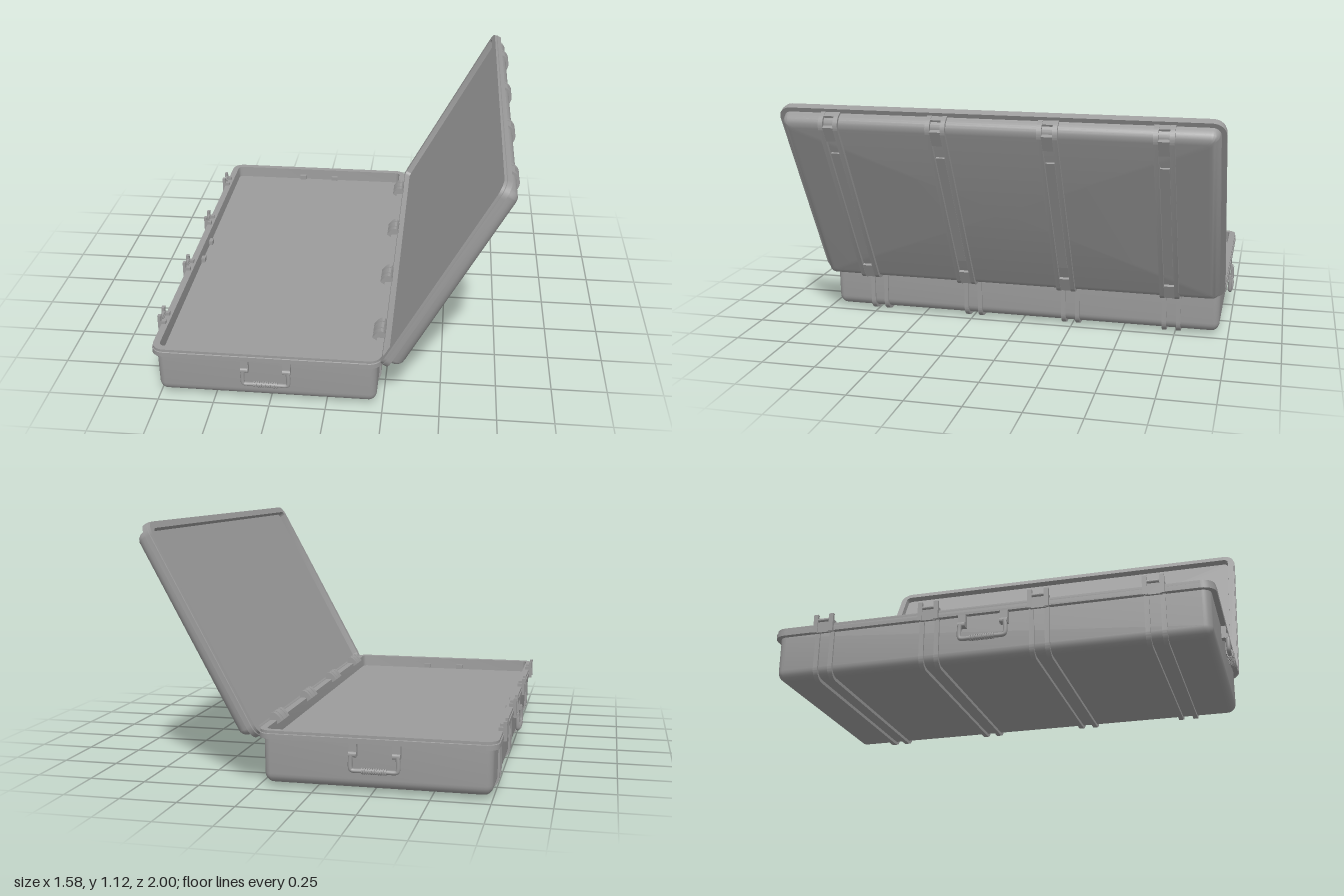
import * as THREE from 'three';
import { toCreasedNormals } from 'three/addons/utils/BufferGeometryUtils.js';

const mat = new THREE.MeshStandardMaterial({ color: 0x9b9b9b });
const HX = 0.512, HZ = 0.982;             // half size of the rim outline
const RIBS = [-0.732, -0.244, 0.244, 0.732]; // stations of ribs, latches and hinges

function add(parent, name, geo, x = 0, y = 0, z = 0) {
  const m = new THREE.Mesh(geo, mat);
  m.name = name;
  m.position.set(x, y, z);
  parent.add(m);
  return m;
}
const box = (p, name, w, h, d, x, y, z) => add(p, name, new THREE.BoxGeometry(w, h, d), x, y, z);
function rod(p, name, r, len, x, y, z, axis = 'z') {
  const g = new THREE.CylinderGeometry(r, r, len, 16);
  if (axis === 'z') g.rotateX(Math.PI / 2); else g.rotateZ(Math.PI / 2);
  return add(p, name, toCreasedNormals(g, 0.7), x, y, z);
}
// Extrude an xy shape along z, centred on z = 0
function slab(shape, width) {
  const g = new THREE.ExtrudeGeometry(shape, { depth: width, bevelEnabled: false, curveSegments: 8 });
  g.translate(0, 0, -width / 2);
  return toCreasedNormals(g, 0.6);
}

// Loft of rounded rectangles; profile is a list of [inset from rim, y]
function loft(profile, radius) {
  const seg = 8, n = 4 * (seg + 1), pos = [], idx = [];
  for (const [d, y] of profile) {
    const r = Math.max(radius - d, 0.015), a = HX - d - r, b = HZ - d - r;
    for (let q = 0; q < 4; q++) for (let s = 0; s <= seg; s++) {
      const t = (q + s / seg) * Math.PI / 2;
      pos.push((q === 0 || q === 3 ? a : -a) + r * Math.cos(t), y, (q < 2 ? b : -b) + r * Math.sin(t));
    }
  }
  const rings = profile.length;
  for (let i = 0; i < rings - 1; i++) for (let j = 0; j < n; j++) {
    const k = (j + 1) % n, A = i * n, B = A + n;
    idx.push(A + j, B + j, B + k, A + j, B + k, A + k);
  }
  // closed underside and inner floor
  const c0 = rings * n, last = (rings - 1) * n;
  pos.push(0, profile[0][1], 0, 0, profile[rings - 1][1], 0);
  for (let j = 0; j < n; j++) {
    const k = (j + 1) % n;
    idx.push(c0, j, k, c0 + 1, last + k, last + j);
  }
  const g = new THREE.BufferGeometry();
  g.setAttribute('position', new THREE.Float32BufferAttribute(pos, 3));
  g.setIndex(idx);
  return toCreasedNormals(g, 0.6);
}

// U-shaped strip that wraps the underside of a shell
function ribGeometry(depth, width) {
  const A = HX - 0.015, a = HX - 0.028, D = depth + 0.015, d = depth - 0.006, R = 0.055, r = 0.05, top = -0.025;
  const s = new THREE.Shape();
  s.moveTo(-A, top);
  s.lineTo(-A, -D + R);
  s.absarc(-A + R, -D + R, R, Math.PI, 1.5 * Math.PI, false);
  s.absarc(A - R, -D + R, R, 1.5 * Math.PI, 2 * Math.PI, false);
  s.lineTo(A, top);
  s.lineTo(a, top);
  s.lineTo(a, -d + r);
  s.absarc(a - r, -d + r, r, 0, -Math.PI / 2, true);
  s.absarc(-a + r, -d + r, r, -Math.PI / 2, -Math.PI, true);
  s.lineTo(-a, top);
  return slab(s, width);
}

// Half of the case: opening at y = 0, underside at y = -depth
function makeShell(name, depth, recess) {
  const g = new THREE.Group();
  g.name = name;
  const R = 0.045, profile = [];
  for (let i = 0; i <= 6; i++) {
    const t = i / 6 * Math.PI / 2;
    profile.push([0.024 + R * (1 - Math.sin(t)), -depth + R * (1 - Math.cos(t))]);
  }
  profile.push([0.022, -0.036], [0, -0.036], [0, -0.014], [0.004, -0.012], [0.004, 0],
    [0.035, 0], [0.038, -recess]);
  add(g, name + 'Shell', loft(profile, 0.06));
  const rib = ribGeometry(depth, 0.021);
  for (const z of RIBS) for (const o of [-0.034, 0.034]) add(g, name + 'Rib', rib, 0, 0, z + o);
  return g;
}

// Folding carry handle, facing +z, origin on the wall below the rim
function makeHandle() {
  const g = new THREE.Group();
  g.name = 'carryHandle';
  for (const s of [-1, 1]) {
    box(g, 'handleBracket', 0.034, 0.06, 0.028, s * 0.093, -0.03, 0.01);
    box(g, 'handleBracketInner', 0.034, 0.022, 0.04, s * 0.093, -0.012, -0.012);
    rod(g, 'handlePivot', 0.012, 0.034, s * 0.093, -0.05, 0.022, 'x');
  }
  const half = [[0, -0.117], [0.05, -0.117], [0.09, -0.117], [0.098, -0.114], [0.101, -0.106], [0.101, -0.07], [0.098, -0.05]];
  const pts = [...half.slice(1).reverse().map(([x, y]) => [-x, y]), ...half];
  const path = new THREE.CatmullRomCurve3(pts.map(([x, y]) => new THREE.Vector3(x, y, 0.028)), false, 'centripetal');
  add(g, 'handleBar', new THREE.TubeGeometry(path, 72, 0.0095, 10));
  for (let i = -5; i <= 5; i++) rod(g, 'gripRidge', 0.0135, 0.006, i * 0.01, -0.117, 0.028, 'x');
  return g;
}

export function createModel() {
  const model = new THREE.Group();
  model.name = 'openCase';

  const base = makeShell('base', 0.237, 0.058);
  base.position.set(-0.265, 0.252, 0);
  model.add(base);

  const lid = makeShell('lid', 0.095, 0.028);
  lid.position.set(0.235 + 0.499 * Math.cos(1.0734), 0.235 + 0.499 * Math.sin(1.0734), 0);
  lid.rotation.z = 1.0734;
  model.add(lid);

  // hinge knuckle section: wedge rising from the base rim to the pin
  const wedge = new THREE.Shape([[0.19, 0.25], [0.2, 0.265], [0.215, 0.28], [0.227, 0.286], [0.238, 0.283],
    [0.246, 0.27], [0.25, 0.22], [0.232, 0.22]].map(([x, y]) => new THREE.Vector2(x, y)).reverse());
  const endKnuckle = slab(wedge, 0.028), midKnuckle = slab(wedge, 0.046);

  for (const z of RIBS) {
    // raised pads between each pair of lid ribs, wrapping over both edges
    box(lid, 'lidPad', 0.63, 0.014, 0.04, 0, -0.097, z);
    for (const s of [-1, 1]) {
      box(lid, 'lidEndPad', 0.075, 0.02, 0.05, s * 0.425, -0.098, z);
      box(lid, 'lidEdgePad', 0.014, 0.04, 0.05, s * 0.488, -0.045, z);
    }

    // latch: two prongs, a plate and a cross pin
    for (const o of [-0.036, 0.036]) {
      box(model, 'latchProng', 0.014, 0.084, 0.02, -0.782, 0.251, z + o);
      box(model, 'latchArm', 0.034, 0.05, 0.02, -0.77, 0.242, z + o);
    }
    box(model, 'latchPlate', 0.012, 0.05, 0.07, -0.779, 0.232, z);
    rod(model, 'latchPin', 0.008, 0.08, -0.78, 0.268, z);

    // hinge: three knuckles on a pin
    for (const o of [-0.044, 0.044]) add(model, 'hingeKnuckle', endKnuckle, 0, 0, z + o);
    add(model, 'hingeMiddleKnuckle', midKnuckle, 0, 0, z);
    rod(model, 'hingePin', 0.014, 0.11, 0.228, 0.266, z);
  }

  // handles on both ends and on the latch side
  const places = [[-0.264, 0.957, 0], [-0.264, -0.957, Math.PI], [-0.753, 0, -Math.PI / 2]];
  for (const [x, z, turn] of places) {
    const h = makeHandle();
    h.position.set(x, 0.22, z);
    h.rotation.y = turn;
    model.add(h);
  }
  return model;
}
